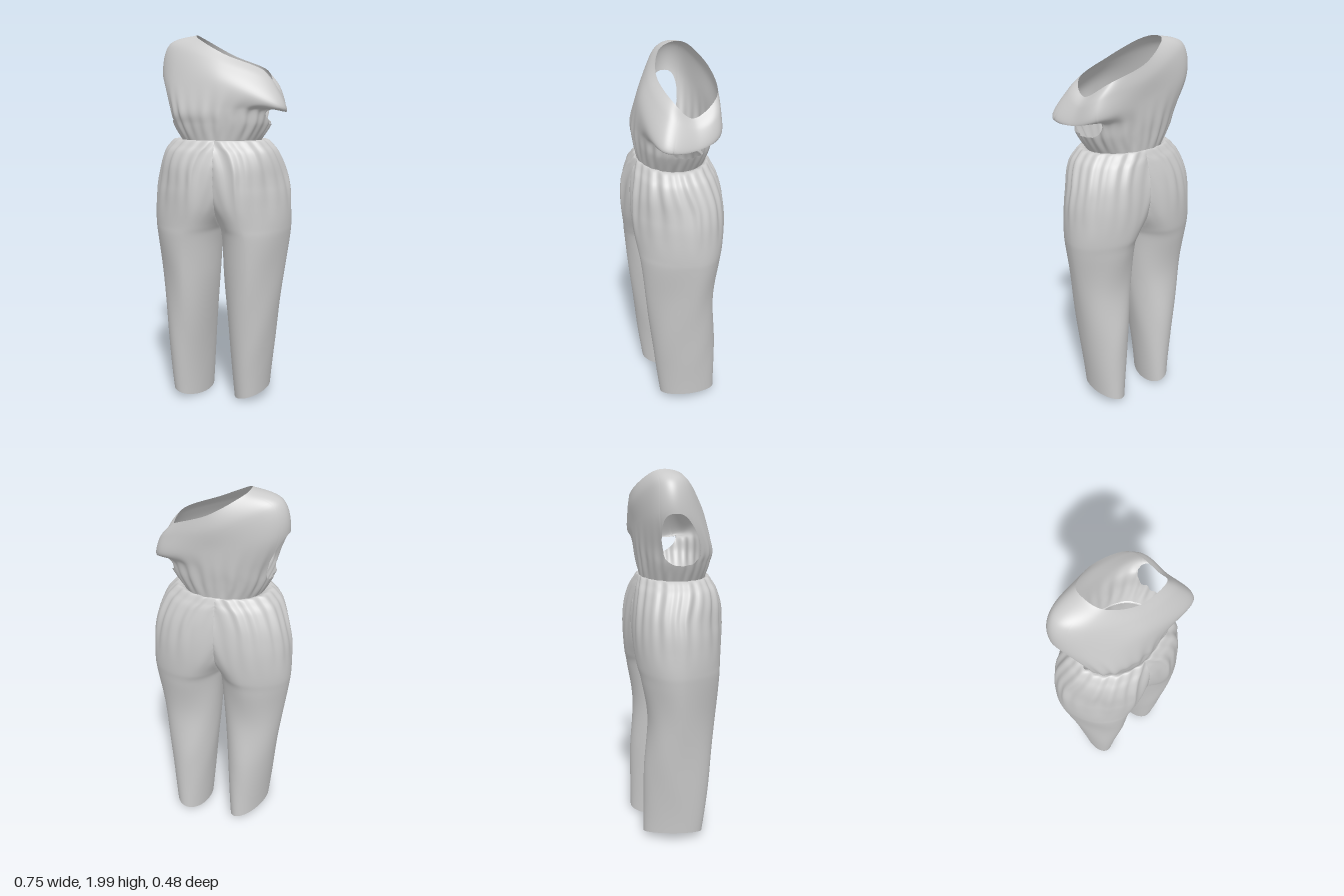
import * as THREE from 'three';
import { mergeVertices } from 'three/addons/utils/BufferGeometryUtils.js';

const cloth = new THREE.MeshStandardMaterial({ color: 0xcccccc, side: THREE.DoubleSide });
const fade = THREE.MathUtils.smoothstep;

// Catmull-Rom blend of rows of numbers at fractional row index v
function sampleRows(rows, v) {
  const n = rows.length - 1;
  const i = Math.min(Math.floor(v), n - 1), t = v - i;
  const [a, b, c, d] = [i - 1, i, i + 1, i + 2].map(k => rows[Math.max(0, Math.min(n, k))]);
  return b.map((_, k) => b[k] + 0.5 * t * (c[k] - a[k]
    + t * (2 * a[k] - 5 * b[k] + 4 * c[k] - d[k] + t * (3 * (b[k] - c[k]) + d[k] - a[k]))));
}

// Closed tubes of cloth from point(u, w); faces lying wholly on the x = 0 plane can be left out
function clothGeometry(tubes, nu, nw, openCentre = false) {
  const pos = [], index = [];
  for (const point of tubes) {
    const base = pos.length / 3;
    for (let i = 0; i <= nw; i++)
      for (let j = 0; j < nu; j++) pos.push(...point(j / nu, i / nw));
    for (let i = 0; i < nw; i++) {
      for (let j = 0; j < nu; j++) {
        const k = (j + 1) % nu;
        const a = base + i * nu + j, b = base + i * nu + k, c = a + nu, d = b + nu;
        for (const tri of [[a, c, b], [b, c, d]])
          if (!openCentre || tri.some(q => pos[q * 3] > 1e-6)) index.push(...tri);
      }
    }
  }
  let g = new THREE.BufferGeometry();
  g.setAttribute('position', new THREE.Float32BufferAttribute(pos, 3));
  g.setIndex(index);
  g = mergeVertices(g, 1e-5);
  g.computeVertexNormals();
  return g;
}

// Trouser half: height, outer x, x of the fullest depth, inner x (negative above the crotch), front z, back z
const legRows = [
  [0.03, 0.265, 0.170, 0.075, 0.11, -0.20],
  [0.40, 0.303, 0.172, 0.040, 0.158, -0.197],
  [0.70, 0.338, 0.172, 0.015, 0.192, -0.178],
  [0.92, 0.370, 0.165, 0.002, 0.216, -0.208],
  [1.00, 0.378, 0.145, -0.02, 0.225, -0.225],
  [1.10, 0.376, 0.120, -0.10, 0.236, -0.236],
  [1.20, 0.366, 0.110, -0.19, 0.238, -0.236],
  [1.30, 0.340, 0.100, -0.26, 0.230, -0.225],
  [1.38, 0.308, 0.070, -0.29, 0.212, -0.207],
  [1.42, 0.280, 0.035, -0.27, 0.196, -0.192],
  [1.45, 0.245, 0.010, -0.24, 0.18, -0.178],
  [1.438, 0.205, 0.000, -0.205, 0.168, -0.168],
];

// The lower leg twists by the given lean, so its hem lies aslant
const legPoint = lean => (u, w) => {
  const [y, outer, peak, inner, zf, zb] = sampleRows(legRows, w * (legRows.length - 1));
  const a = u * Math.PI * 2;
  let c = Math.cos(a), s = Math.sin(a);
  // gathers below the waist, broad drape folds down the leg
  const gather = 0.02 * fade(y, 1.02, 1.34) * (1 - fade(w, 0.88, 1));
  const drape = 0.014 * fade(y, 0.05, 0.4) * (1 - fade(y, 1.0, 1.3));
  const r = 1 + gather * (Math.sin(22 * a) + 0.7 * Math.sin(13 * a + 1))
    + drape * Math.sin(4 * a + 5 * y) * Math.sin(7 * y + a);
  const hem = 0.025 * c * (1 - fade(y, 0.03, 0.35));
  // the front outer quarter is flatter over the thigh
  if (c > 0 && s > 0) {
    const e = 1 + 0.22 * fade(y, 0.3, 0.8) * (1 - fade(y, 1.2, 1.4));
    c **= e;
    s **= e;
  }
  const zc = -0.04 * (1 - fade(y, 1.25, 1.45));
  const z = zc + r * s * (s > 0 ? zf - zc : zc - zb);
  const twist = 1 - fade(y, 0.05, 0.75);
  const x = peak + r * c * (c > 0 ? outer - peak : peak - inner) * (1 - 0.3 * Math.abs(lean) * twist)
    + lean * twist * (z - zc);
  return [Math.max(0, x), y + hem, z];
};

// Bodice loops, waist to neckline: left, left front, front, right front, right, right back, back, left back
const ring = (y, l, r, f, b, corner) => [0, 1, 2, 3, 4, 5, 6, 7].map(i => {
  const k = i % 2 ? corner : 1;
  const c = k * Math.cos(i * Math.PI / 4), s = k * Math.sin(i * Math.PI / 4);
  return [c * (c > 0 ? l : r), y, s * (s > 0 ? f : b)];
});
const bodiceLoops = [
  ring(1.43, 0.205, 0.205, 0.17, 0.17, 1),
  ring(1.53, 0.265, 0.255, 0.185, 0.183, 1.04),
  ring(1.61, 0.295, 0.28, 0.19, 0.193, 1.06),
  [[0.342, 1.60, -0.02], [0.33, 1.625, 0.155], [0.02, 1.75, 0.172], [-0.24, 1.77, 0.08],
    [-0.34, 1.795, -0.06], [-0.26, 1.78, -0.165], [0, 1.72, -0.2], [0.275, 1.65, -0.17]],
  [[0.308, 1.69, -0.03], [0.27, 1.755, 0.10], [0.02, 1.84, 0.125], [-0.215, 1.92, 0.035],
    [-0.302, 1.95, -0.07], [-0.24, 1.925, -0.158], [0.01, 1.82, -0.21], [0.262, 1.745, -0.165]],
  [[0.268, 1.735, -0.03], [0.23, 1.81, 0.06], [0.04, 1.885, 0.083], [-0.11, 1.965, 0.025],
    [-0.15, 1.995, -0.07], [-0.12, 1.975, -0.145], [0.03, 1.89, -0.2], [0.215, 1.815, -0.165]],
].map(loop => new THREE.CatmullRomCurve3(loop.map(p => new THREE.Vector3(...p)), true, 'catmullrom', 0.5));

function bodicePoint(u, v) {
  const [x, y, z] = sampleRows(bodiceLoops.map(c => c.getPoint(u).toArray()), v);
  const a = u * Math.PI * 2;
  const amp = 0.017 * fade(v, 0, 0.8) * (1 - fade(v, 1.2, 3));
  const r = 1 + amp * (Math.sin(26 * a) + 0.7 * Math.sin(17 * a + 2));
  return [x * r, y, z * r];
}

// Each armhole parts the bodice into a lower edge and an upper edge
const middle = 2.3;
const armholes = [
  { at: -0.015, half: 0.1, low: 1.0, high: 3.0 },
  { at: 0.515, half: 0.08, low: 1.0, high: 3.0 },
];
function armEdge(u, side) {
  for (const h of armholes) {
    const d = Math.abs(((u - h.at + 1.5) % 1) - 0.5) / h.half;
    if (d < 1) return middle + (h[side] - middle) * Math.sqrt(1 - d ** 3);
  }
  return middle;
}

export function createModel() {
  const model = new THREE.Group();
  const add = (name, geometry) => {
    const mesh = new THREE.Mesh(geometry, cloth);
    mesh.name = name;
    model.add(mesh);
    return mesh;
  };

  // Trousers: two mirrored halves meeting on the centre seam
  add('leftTrouserHalf', clothGeometry([legPoint(-0.1)], 144, 96, true));
  add('rightTrouserHalf', clothGeometry([legPoint(0.25)], 144, 96, true)).scale.x = -1;

  // One-shoulder bodice with a dropped sleeve on the left and a cap sleeve on the right
  add('bodice', clothGeometry([
    (u, w) => bodicePoint(u, w * armEdge(u, 'low')),
    (u, w) => { const e = armEdge(u, 'high'); return bodicePoint(u, e + (5 - e) * w); },
  ], 200, 24));

  return model;
}
